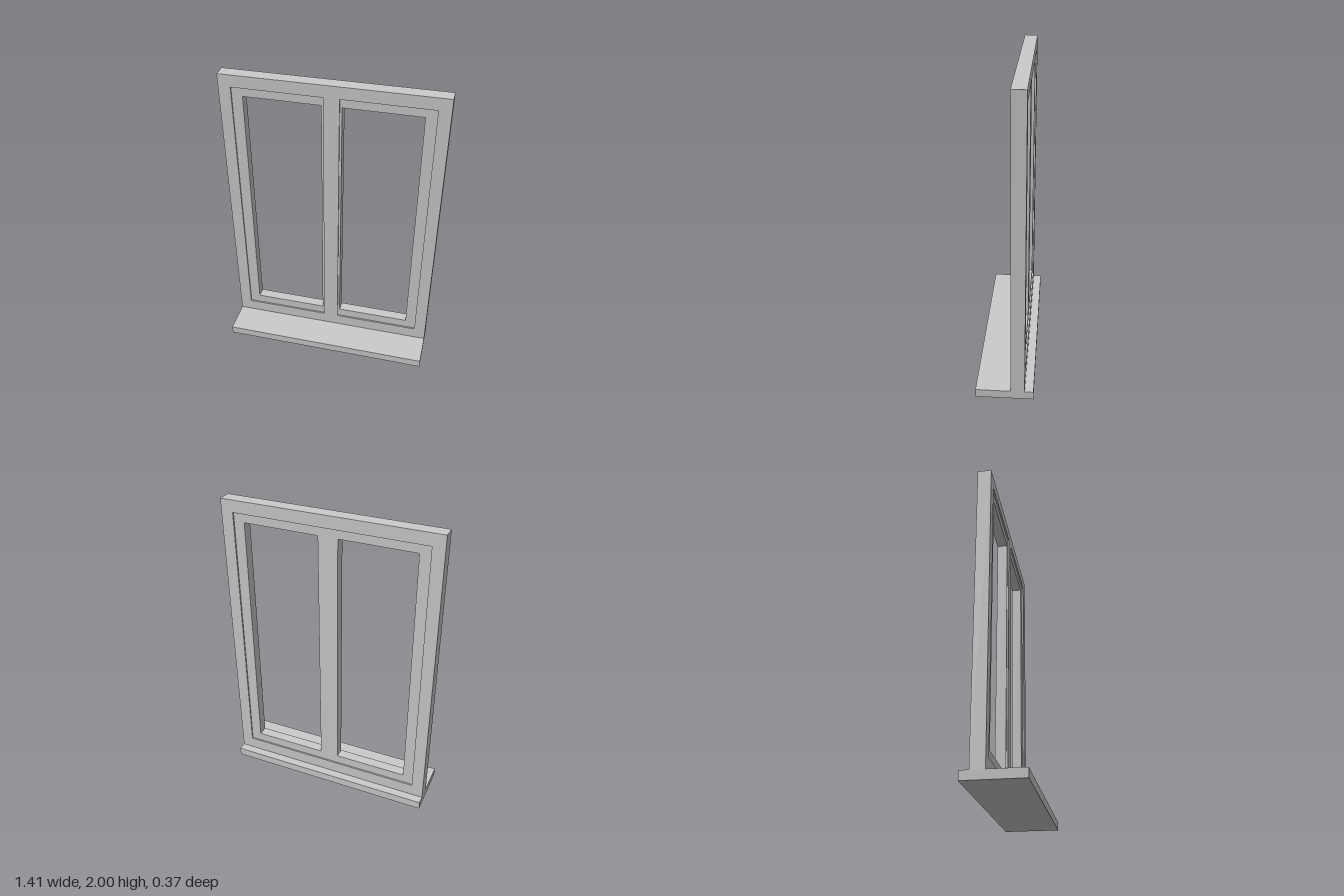
import * as THREE from 'three';

const material = new THREE.MeshStandardMaterial({ color: 0xcccccc, flatShading: true });

// Closed rectangular outline, used for both shapes and holes
function rect(Type, x0, y0, x1, y1) {
  const path = new Type();
  path.moveTo(x0, y0);
  path.lineTo(x1, y0);
  path.lineTo(x1, y1);
  path.lineTo(x0, y1);
  path.closePath();
  return path;
}

// Rectangular plate with rectangular openings, between two depths
function plate(name, outer, holes, z0, z1) {
  const shape = rect(THREE.Shape, ...outer);
  for (const h of holes) shape.holes.push(rect(THREE.Path, ...h));
  const geometry = new THREE.ExtrudeGeometry(shape, { depth: z1 - z0, bevelEnabled: false });
  geometry.translate(0, 0, z0);
  const mesh = new THREE.Mesh(geometry, material);
  mesh.name = name;
  return mesh;
}

export function createModel() {
  const group = new THREE.Group();
  group.name = 'window';

  // Outer frame around the whole opening
  group.add(plate('outerFrame', [-0.706, 0.055, 0.706, 2], [[-0.627, 0.138, 0.627, 1.92]], -0.128, -0.04));

  // Pair of sashes, set back slightly from both frame faces
  for (const [name, s] of [['leftSash', 1], ['rightSash', -1]]) {
    const span = (a, b) => (s > 0 ? [a, b] : [-b, -a]);
    const [x0, x1] = span(0, 0.627);
    const [h0, h1] = span(0.064, 0.557);
    group.add(plate(name, [x0, 0.138, x1, 1.92], [[h0, 0.2, h1, 1.862]], -0.118, -0.05));
  }

  // Centre post, flush with the front of the frame
  group.add(plate('centrePost', [-0.05, 0.138, 0.05, 1.92], [], -0.05, -0.04));

  // Sill board projecting front and back
  group.add(plate('sill', [-0.706, 0, 0.706, 0.056], [], -0.184, 0.184));

  return group;
}
